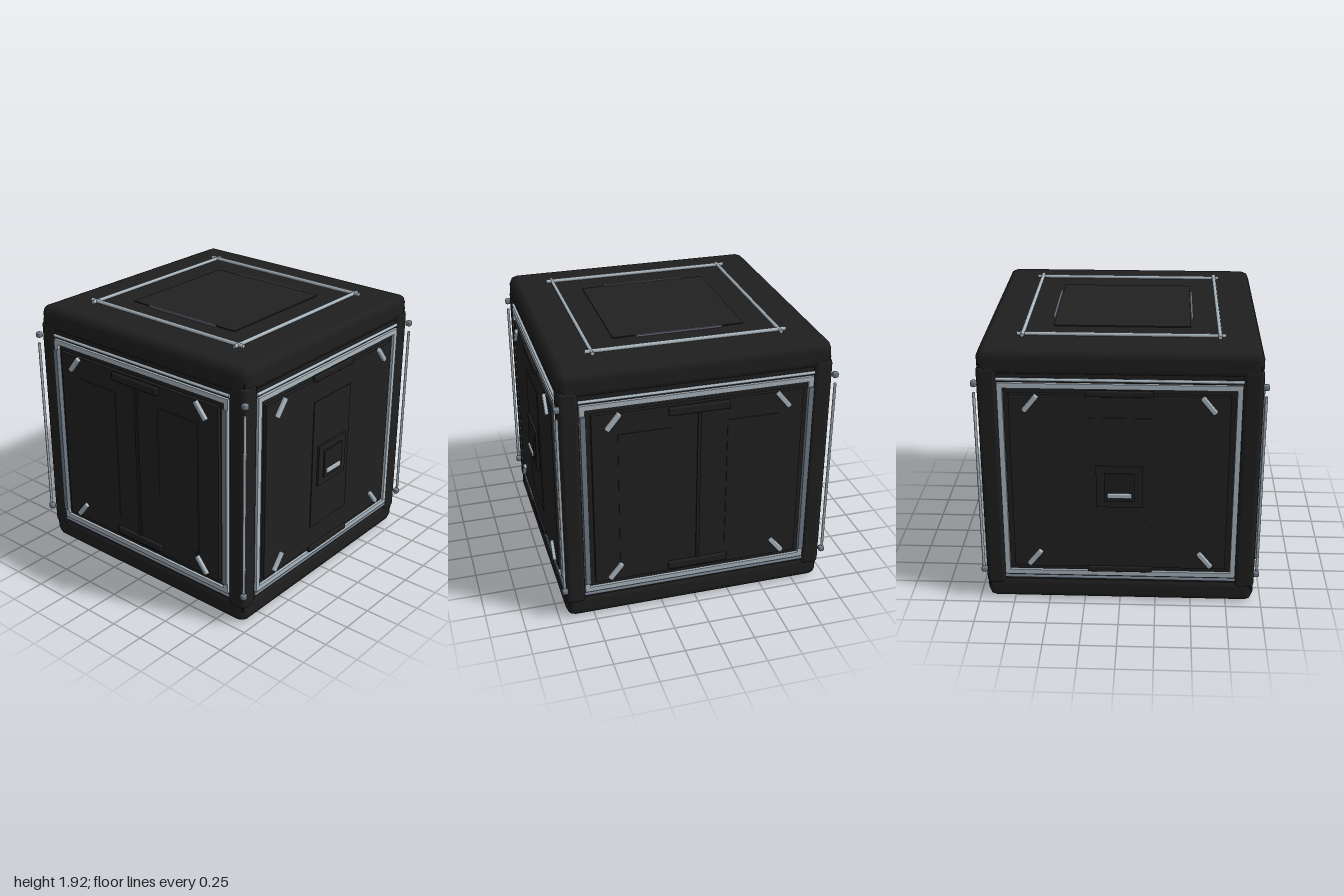
import * as THREE from 'three';
import { RoundedBoxGeometry } from 'three/addons/geometries/RoundedBoxGeometry.js';

const mat = (name, color) => {
  const m = new THREE.MeshStandardMaterial({ color });
  m.name = name;
  return m;
};

export function createModel() {
  const black = mat('black shell', 0x1f1f1f);
  const panelBlack = mat('panel black', 0x212121);
  const silver = mat('silver trim', 0xaab7c0);
  const steel = mat('steel', 0x6f7b88);
  const slate = mat('slate', 0x686a78);

  const add = (parent, name, geo, material, x, y, z) => {
    const m = new THREE.Mesh(geo, material);
    m.name = name;
    m.position.set(x, y, z);
    parent.add(m);
    return m;
  };
  const box = (p, name, w, h, d, material, x, y, z) =>
    add(p, name, new THREE.BoxGeometry(w, h, d), material, x, y, z);
  const soft = (p, name, w, h, d, r, material, x, y, z, seg = 1) =>
    add(p, name, new RoundedBoxGeometry(w, h, d, seg, r), material, x, y, z);
  const rod = (p, name, r, len, axis, material, x, y, z) => {
    const g = new THREE.CylinderGeometry(r, r, len, 10);
    if (axis === 'x') g.rotateZ(Math.PI / 2);
    if (axis === 'z') g.rotateX(Math.PI / 2);
    return add(p, name, g, material, x, y, z);
  };

  const model = new THREE.Group();
  model.name = 'crate';

  // Main shell: core, two caps and four corner pillars
  box(model, 'core', 1.86, 1.7, 1.86, black, 0, 0.945, 0);
  soft(model, 'topCap', 1.89, 0.19, 1.89, 0.06, black, 0, 1.8, 0);
  soft(model, 'bottomCap', 1.89, 0.18, 1.89, 0.06, black, 0, 0.09, 0);
  for (const sx of [-1, 1]) {
    for (const sz of [-1, 1]) {
      soft(model, 'cornerPillar', 0.14, 1.66, 0.14, 0.035, black, sx * 0.877, 0.945, sz * 0.877, 2);
      rod(model, 'cornerRod', 0.01, 1.32, 'y', silver, sx * 0.96, 0.94, sz * 0.96);
      for (const y of [0.25, 1.665]) {
        soft(model, 'cornerBolt', 0.042, 0.042, 0.042, 0.013, steel, sx * 0.957, y, sz * 0.957, 2);
      }
    }
  }

  // Each wall faces +z locally and is turned into place
  const cy = 0.936;
  for (let i = 0; i < 4; i++) {
    const wall = new THREE.Group();
    const isSide = i % 2 === 1;
    wall.name = isSide ? 'sideWall' : 'doorWall';
    wall.rotation.y = i * Math.PI / 2;
    model.add(wall);

    // Trim frame, thin rods and raised panel
    for (const s of [-1, 1]) {
      box(wall, 'frameRail', 1.62, 0.036, 0.03, silver, 0, cy + s * 0.712, 0.935);
      box(wall, 'framePost', 0.036, 1.388, 0.03, silver, s * 0.792, cy, 0.935);
      rod(wall, 'trimRod', 0.011, 1.63, 'x', isSide ? silver : steel, 0, cy + s * 0.753, 0.938)
        .material = s > 0 ? silver : steel;
    }
    box(wall, 'wallPanel', 1.47, 1.31, 0.04, panelBlack, 0, cy, 0.935);

    // Slanted corner braces
    for (const sx of [-1, 1]) {
      for (const sy of [-1, 1]) {
        const brace = soft(wall, 'cornerBrace', 0.145, 0.036, 0.03, 0.008, silver, sx * 0.592, 0.942 + sy * 0.588, 0.964);
        brace.rotation.z = -sx * 0.89;
      }
    }

    if (isSide) {
      // Latch plates with a pull handle
      box(wall, 'centrePanel', 0.43, 0.98, 0.02, panelBlack, 0, 0.94, 0.951);
      for (const s of [-1, 1]) {
        soft(wall, 'edgeBar', 0.45, 0.042, 0.03, 0.008, black, 0, 0.936 + s * 0.667, 0.957);
      }
      box(wall, 'latchPlate', 0.32, 0.31, 0.03, panelBlack, 0, 0.925, 0.962);
      box(wall, 'latchPad', 0.21, 0.21, 0.02, black, 0, 0.925, 0.977);
      soft(wall, 'pullHandle', 0.165, 0.036, 0.03, 0.008, silver, 0, 0.865, 0.985);
    } else {
      // Double doors with centre seam and cross bars
      box(wall, 'doorSeam', 0.024, 1.25, 0.03, black, 0, 0.94, 0.95);
      for (const s of [-1, 1]) {
        box(wall, 'doorPanel', 0.36, 1.0, 0.02, panelBlack, s * 0.38, 0.93, 0.951);
        box(wall, 'doorStrip', 0.036, 1.31, 0.04, steel, s * 0.79, cy, 0.945);
        soft(wall, 'doorBar', 0.43, 0.06, 0.04, 0.012, black, 0, 0.94 + s * 0.61, 0.957);
      }
    }
  }

  // Roof hatch panel, rails and grips
  box(model, 'roofPanel', 0.93, 0.02, 0.94, panelBlack, 0, 1.892, 0);
  for (const s of [-1, 1]) {
    rod(model, 'roofRailAcross', 0.014, 1.4, 'x', silver, 0, 1.91, s * 0.66);
    rod(model, 'roofRailAlong', 0.013, 1.4, 'z', silver, s * 0.655, 1.908, 0);
    box(model, 'roofGrip', 0.61, 0.018, 0.017, slate, 0, 1.9, s * 0.48);
  }
  return model;
}
